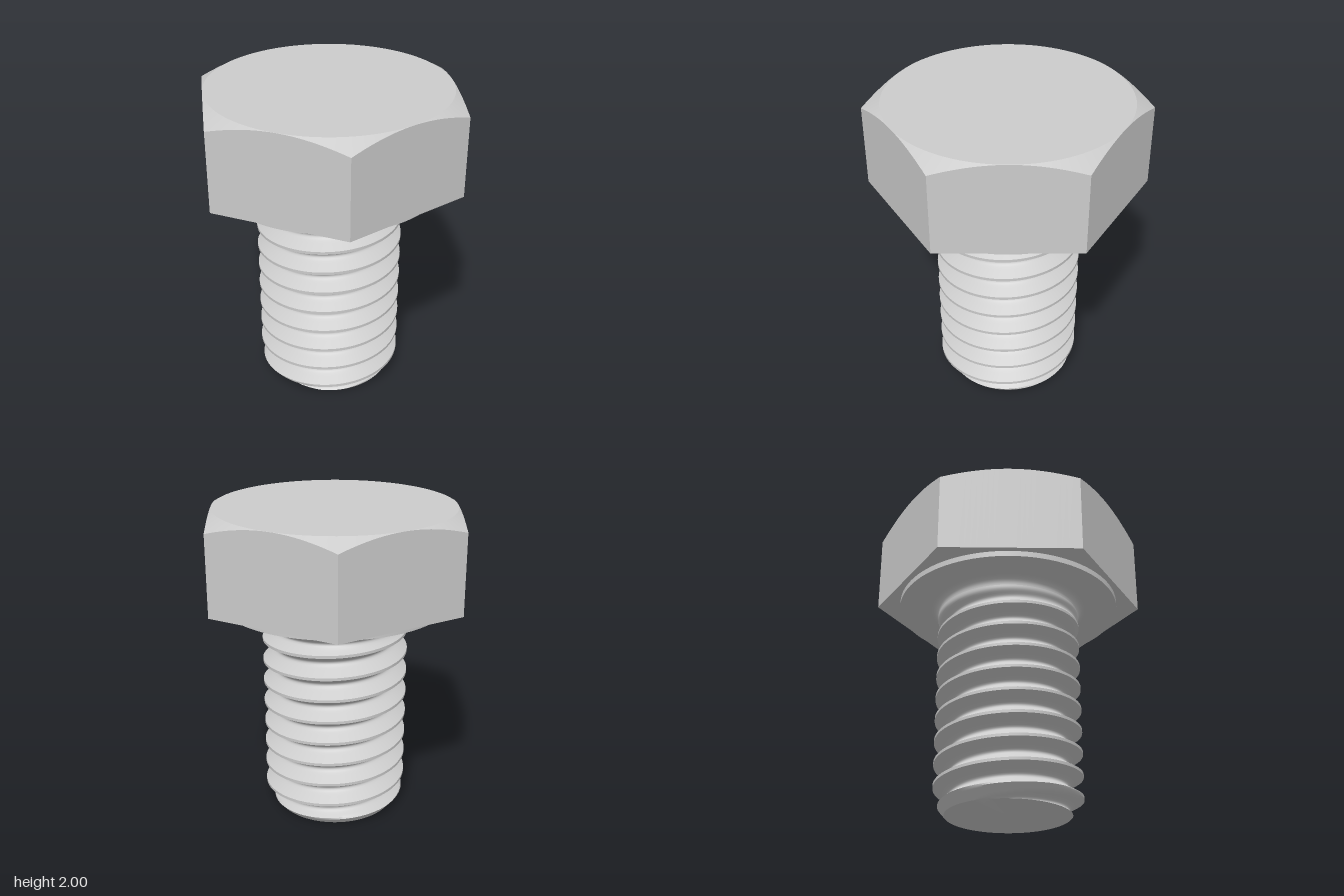
import * as THREE from 'three';
import { toCreasedNormals } from 'three/addons/utils/BufferGeometryUtils.js';

const TAU = Math.PI * 2;
const PITCH = 0.145, CREST_R = 0.462, CREST_Y = 0.148, SHANK_TOP = 1.34;

// Skin of rings listed bottom to top; point(angle, ring) gives [radius, height].
function skin(rings, segments, crease, point) {
  const at = (i, ring) => {
    const a = (i / segments) * TAU;
    const [r, y] = point(a, ring);
    return new THREE.Vector3(r * Math.cos(a), y, -r * Math.sin(a));
  };
  const grid = rings.map(ring => Array.from({ length: segments + 1 }, (_, i) => at(i, ring)));
  const out = [];
  const tri = (...p) => {
    if (new THREE.Triangle(...p).getArea() > 1e-10) p.forEach(v => out.push(v.x, v.y, v.z));
  };
  for (let j = 0; j < rings.length - 1; j++) {
    for (let i = 0; i < segments; i++) {
      const a = grid[j][i], b = grid[j][i + 1], c = grid[j + 1][i + 1], d = grid[j + 1][i];
      tri(a, b, c);
      tri(a, c, d);
    }
  }
  const geometry = new THREE.BufferGeometry();
  geometry.setAttribute('position', new THREE.Float32BufferAttribute(out, 3));
  // Enlarged while creasing, so close vertices are not merged
  geometry.scale(100, 100, 100);
  const creased = toCreasedNormals(geometry, crease);
  creased.scale(0.01, 0.01, 0.01);
  return creased;
}

// Hexagon with a conical chamfer on its top corners
function headGeometry() {
  const flat = 0.75, topR = 0.749, bottom = 1.425, top = 2;
  return skin(['underside', 'bottomEdge', 'topEdge', 'chamfer', 'centre'], 144, 0.4, (a, ring) => {
    const sector = Math.PI / 3;
    const fromFlat = (a % sector) - sector / 2;
    const r = flat / Math.cos(fromFlat);
    switch (ring) {
      case 'underside': return [0, bottom];
      case 'bottomEdge': return [r, bottom];
      case 'topEdge': return [r, top - (r - topR) * Math.tan(Math.PI / 6)];
      case 'chamfer': return [topR, top];
      default: return [0, top];
    }
  });
}

// Washer face with the fillet that joins it to the shank
function collarGeometry() {
  const profile = [];
  for (let i = 0; i <= 8; i++) {
    const t = (i / 8) * Math.PI / 2;
    profile.push([CREST_R + 0.05 * (1 - Math.cos(t)), SHANK_TOP + 0.05 * Math.sin(t)]);
  }
  profile.push([0.715, 1.39], [0.715, 1.425]);
  return skin(profile, 96, 0.6, (a, p) => p);
}

// Half a thread from crest to root: [distance along axis, depth], in pitches
const HALF_THREAD = [[0, 0], [0.0625, 0], [0.13, 0.117], [0.2, 0.238], [0.27, 0.359],
  [0.33, 0.463], [0.39, 0.55], [0.44, 0.595], [0.5, 0.613]];

function threadDepth(t) {
  const d = Math.abs(t - Math.round(t));
  for (let i = 1; i < HALF_THREAD.length; i++) {
    const [d0, h0] = HALF_THREAD[i - 1], [d1, h1] = HALF_THREAD[i];
    if (d <= d1 + 1e-9) return PITCH * (h0 + (h1 - h0) * (d - d0) / (d1 - d0));
  }
  return 0;
}

// Right-hand thread, fading out under the head and chamfered at the tip
function shankGeometry() {
  const rings = ['tip'];
  for (let k = -3; k <= 9; k++) {
    HALF_THREAD.slice(0, -1).forEach(([d]) => rings.push(k + d));
    HALF_THREAD.slice(1).reverse().forEach(([d]) => rings.push(k + 1 - d));
  }
  return skin(rings, 120, 0.7, (a, ring) => {
    if (ring === 'tip') return [0, 0];
    const helix = CREST_Y + PITCH * a / TAU;
    const y = THREE.MathUtils.clamp(helix + ring * PITCH, 0, SHANK_TOP);
    const fade = 1 - THREE.MathUtils.smoothstep(y, 1.2, 1.33);
    const r = CREST_R - threadDepth((y - helix) / PITCH) * fade;
    return [Math.min(r, 0.39 + 0.85 * y), y];
  });
}

export function createModel() {
  const group = new THREE.Group();
  group.name = 'hexBolt';
  const material = new THREE.MeshStandardMaterial({ color: 0xcccccc });
  const parts = {
    hexHead: headGeometry(),
    washerFace: collarGeometry(),
    threadedShank: shankGeometry(),
  };
  for (const [name, geometry] of Object.entries(parts)) {
    const mesh = new THREE.Mesh(geometry, material);
    mesh.name = name;
    group.add(mesh);
  }
  return group;
}
